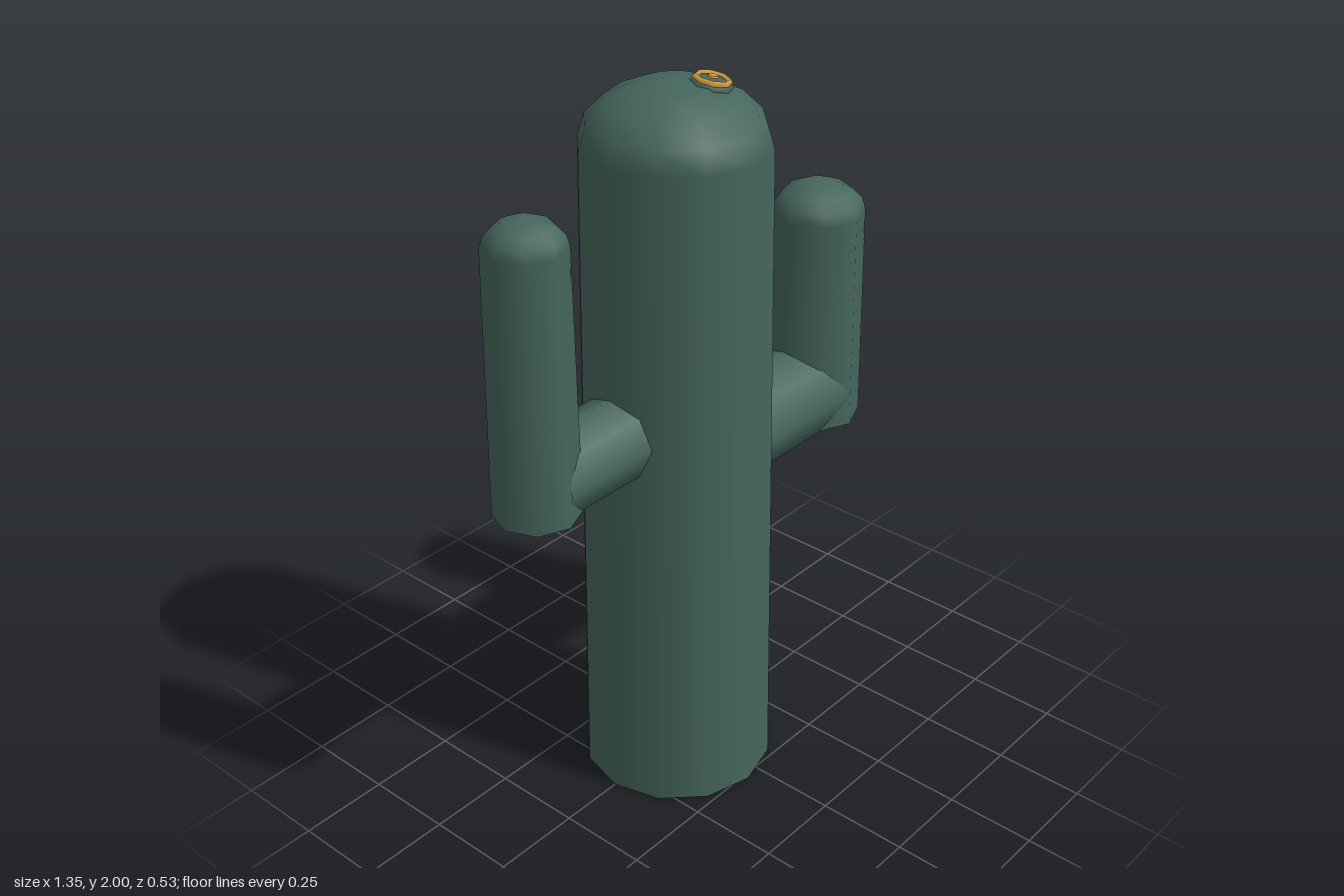
import * as THREE from 'three';

export function createModel() {
  const green = new THREE.MeshStandardMaterial({ color: 0x45665c, side: THREE.DoubleSide });
  green.name = 'cactus green';
  const orange = new THREE.MeshStandardMaterial({ color: 0xd9a042, side: THREE.DoubleSide });
  orange.name = 'flower orange';

  const model = new THREE.Group();
  model.name = 'cactus';

  function add(parent, name, geometry, material, x, y, z = 0) {
    const mesh = new THREE.Mesh(geometry, material);
    mesh.name = name;
    mesh.position.set(x, y, z);
    parent.add(mesh);
    return mesh;
  }

  // Tapered open column with a flattened dome on top
  function column(name, x, y0, y1, rBottom, rTop, domeHeight, sides) {
    const group = new THREE.Group();
    group.name = name;
    const tube = new THREE.CylinderGeometry(rTop, rBottom, y1 - y0, sides, 1, true);
    add(group, name + 'Stem', tube, green, x, (y0 + y1) / 2);
    const dome = new THREE.SphereGeometry(rTop, sides, 4, 0, Math.PI * 2, 0, Math.PI / 2);
    dome.scale(1, domeHeight / rTop, 1);
    add(group, name + 'Dome', dome, green, x, y1);
    model.add(group);
  }

  // Horizontal open branch joining an arm to the trunk
  function branch(name, x0, x1, y, r) {
    const tube = new THREE.CylinderGeometry(r, r, x1 - x0, 8, 1, true);
    tube.rotateZ(Math.PI / 2);
    add(model, name, tube, green, (x0 + x1) / 2, y);
  }

  column('trunk', -0.05, 0, 1.83, 0.265, 0.243, 0.16, 12);
  column('leftArm', 0.535, 0.85, 1.465, 0.138, 0.13, 0.088, 8);
  branch('leftBranch', 0.12, 0.53, 0.945, 0.14);
  column('rightArm', -0.563, 1.025, 1.73, 0.112, 0.103, 0.073, 8);
  branch('rightBranch', -0.555, -0.22, 1.11, 0.115);

  // Small flower sitting off-centre on the crown, tilted outward
  const flower = new THREE.Group();
  flower.name = 'flower';
  flower.position.set(0.012, 1.972, 0.06);
  flower.rotation.set(0.14, 0, -0.14);
  const bud = new THREE.SphereGeometry(0.056, 8, 6);
  bud.scale(1, 0.36, 1);
  add(flower, 'bud', bud, green, 0, 0);
  const ring = new THREE.TorusGeometry(0.042, 0.009, 4, 8);
  ring.rotateX(Math.PI / 2);
  add(flower, 'petalRing', ring, orange, 0, 0.013);
  add(flower, 'flowerCentre', new THREE.CylinderGeometry(0.011, 0.013, 0.006, 8), orange, 0, 0.021);
  model.add(flower);

  return model;
}
